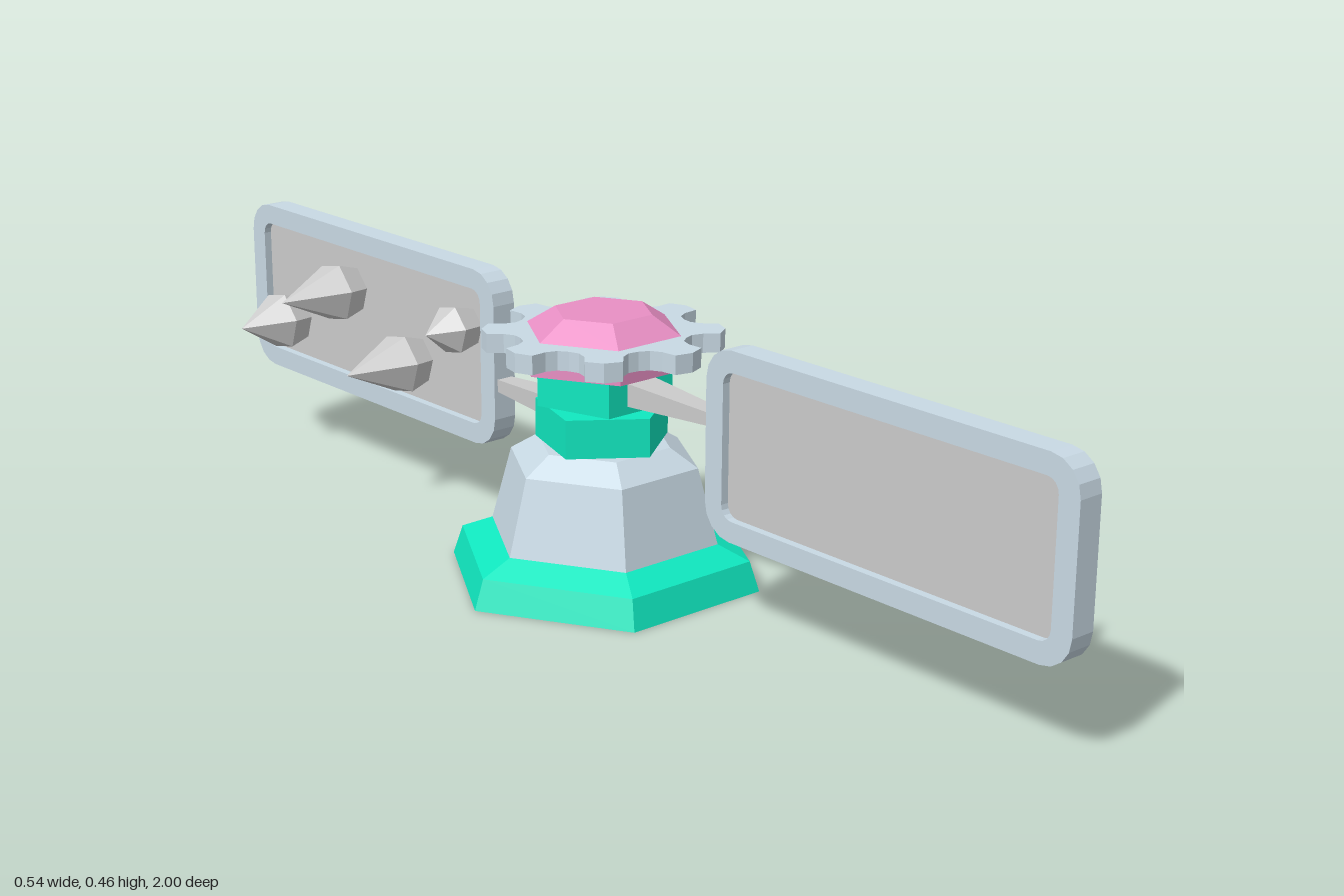
import * as THREE from 'three';

const paint = (color) => new THREE.MeshStandardMaterial({ color, flatShading: true, side: THREE.DoubleSide });
const green = paint(0x10e8c0), steel = paint(0xc8d9e4), pink = paint(0xe88fc4);
const grey = paint(0xcccccc);

function add(parent, name, geometry, material) {
  const mesh = new THREE.Mesh(geometry, material);
  mesh.name = name;
  parent.add(mesh);
  return mesh;
}

// Faceted ring or cone; the first corner points along +x by default
function turned(points, sides = 6, start = Math.PI / 2) {
  return new THREE.LatheGeometry(points.map(([r, y]) => new THREE.Vector2(r, y)), sides, start);
}

// Rounded rectangle outline centred on the origin
function roundRect(Type, w, h, r) {
  const path = new Type(), x = w / 2 - r, y = h / 2 - r;
  [[x, y], [-x, y], [-x, -y], [x, -y]].forEach(([cx, cy], i) =>
    path.absarc(cx, cy, r, i * Math.PI / 2, (i + 1) * Math.PI / 2, false));
  return path;
}

// Eight flared teeth with rounded valleys
function gearGeometry() {
  const points = [], teeth = 8, step = 2 * Math.PI / teeth;
  const tooth = [[-0.5, 0.143], [-0.34, 0.147], [-0.24, 0.163], [-0.2, 0.19], [0, 0.197],
    [0.2, 0.19], [0.24, 0.163], [0.34, 0.147]];
  for (let i = 0; i < teeth; i++) {
    for (const [t, r] of tooth) {
      const a = (i + t) * step - 0.7;
      points.push(new THREE.Vector2(r * Math.cos(a), r * Math.sin(a)));
    }
  }
  const shape = new THREE.Shape(points);
  return new THREE.ExtrudeGeometry(shape, { depth: 0.032, bevelEnabled: false }).rotateX(-Math.PI / 2);
}

// Four-sided bar along z, wide at the hub and narrow at the wing
function armGeometry(length) {
  const geometry = new THREE.BoxGeometry(2, 2, length);
  const p = geometry.attributes.position;
  for (let i = 0; i < p.count; i++) {
    const outer = p.getZ(i) > 0;
    p.setX(i, p.getX(i) * (outer ? 0.014 : 0.03));
    p.setY(i, p.getY(i) * (outer ? 0.01 : 0.02));
  }
  return geometry;
}

// Spiked wing, centred on its own origin, spikes towards +x
function makeWing(name) {
  const wing = new THREE.Group();
  wing.name = name;
  const outline = roundRect(THREE.Shape, 0.735, 0.31, 0.055);
  outline.holes.push(roundRect(THREE.Path, 0.66, 0.24, 0.022));
  const frame = new THREE.ExtrudeGeometry(outline, { depth: 0.044, bevelEnabled: false, curveSegments: 2 });
  add(wing, 'wingFrame', frame.translate(0, 0, -0.022).rotateY(-Math.PI / 2), steel);
  add(wing, 'wingPanel', new THREE.BoxGeometry(0.016, 0.245, 0.665), grey);
  // z, y, radius, tip
  const spikes = [[-0.245, 0.05, 0.056, 0.135], [-0.063, -0.042, 0.056, 0.163],
    [0.132, 0.048, 0.056, 0.163], [0.283, -0.047, 0.045, 0.103]];
  for (const [z, y, r, tip] of spikes) {
    const geometry = turned([[0, 0], [r * 0.72, 0], [r, 0.05], [0, tip]], 6, 0.2);
    add(wing, 'spike', geometry.rotateZ(-Math.PI / 2), grey).position.set(0, y, z);
  }
  return wing;
}

export function createModel() {
  const model = new THREE.Group();
  model.name = 'spinningBladeTower';

  const tower = new THREE.Group();
  tower.name = 'tower';
  tower.position.z = -0.005;
  model.add(tower);

  // Hollow foot and pedestal
  add(tower, 'footRing', turned([[0.225, 0], [0.27, 0], [0.253, 0.05], [0.198, 0.073], [0.185, 0.073], [0.225, 0]]), green);
  add(tower, 'pedestal', turned([[0.198, 0.073], [0.163, 0.2], [0.115, 0.23], [0, 0.23]]), steel);

  // Two five-sided hubs that turn separately, on a thin neck
  const hub = [[0, 0], [0.115, 0], [0.115, 0.065], [0, 0.065]];
  add(tower, 'lowerHub', turned(hub, 5, 0), green).position.y = 0.23;
  add(tower, 'upperHub', turned(hub, 5, Math.PI), green).position.y = 0.303;
  add(tower, 'neck', new THREE.CylinderGeometry(0.068, 0.068, 0.13, 6), green).position.y = 0.325;

  // Cap with gear
  add(tower, 'capCollar', turned([[0, 0.385], [0.13, 0.385], [0.135, 0.368], [0.15, 0.368], [0.15, 0.388], [0, 0.388]]), pink);
  add(tower, 'gear', gearGeometry(), steel).position.y = 0.388;
  add(tower, 'capTop', turned([[0.132, 0.42], [0.083, 0.451], [0, 0.451]]), pink);

  // The back wing is the front wing rolled half a turn
  const front = makeWing('frontWing');
  front.position.set(0, 0.305, 0.6325);
  const back = makeWing('backWing');
  back.position.set(0, 0.305, -0.6325);
  back.rotation.z = Math.PI;
  model.add(front, back);

  // Arms from the hubs to the wings
  add(model, 'frontArm', armGeometry(0.21), grey).position.set(0, 0.335, 0.175);
  const backArm = add(model, 'backArm', armGeometry(0.21), grey);
  backArm.position.set(0, 0.265, -0.175);
  backArm.rotation.y = Math.PI;

  return model;
}
